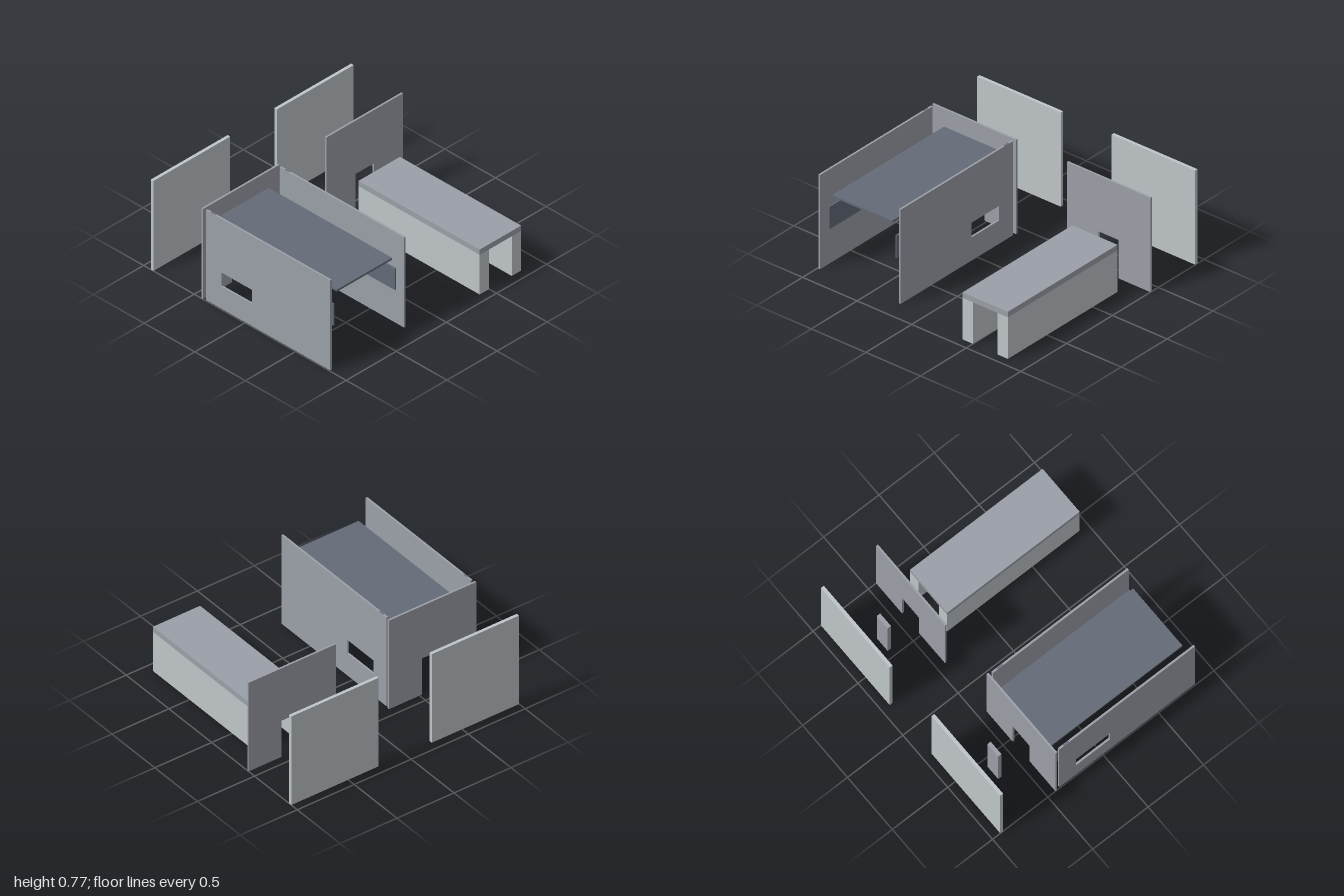
import * as THREE from 'three';

const mat = (name, color) => {
  const m = new THREE.MeshStandardMaterial({ color });
  m.name = name;
  return m;
};

export function createModel() {
  const model = new THREE.Group();
  model.name = 'explodedShelter';
  const grey = mat('wallGrey', 0x9b9fa7);
  const light = mat('lightGrey', 0xbfc5c9);
  const slate = mat('slate', 0x646b78);
  const black = mat('black', 0x101114);

  const add = (name, geometry, material) => {
    const mesh = new THREE.Mesh(geometry, material);
    mesh.name = name;
    model.add(mesh);
    return mesh;
  };
  // Box given by its minimum and maximum on each axis
  const box = (name, material, x0, x1, y0, y1, z0, z1) => {
    const g = new THREE.BoxGeometry(x1 - x0, y1 - y0, z1 - z0);
    g.translate((x0 + x1) / 2, (y0 + y1) / 2, (z0 + z1) / 2);
    return add(name, g, material);
  };
  const polygon = (pts, Type = THREE.Shape) => new Type(pts.map((p) => new THREE.Vector2(...p)));
  const H = 0.77;

  // End walls with doorways, door plates and outer blast panels
  for (const [side, cx] of [['right', -0.616], ['left', 0.616]]) {
    const w = 0.383, d = 0.093, dh = 0.314;
    const outline = polygon([[-w, 0], [-d, 0], [-d, dh], [d, dh], [d, 0], [w, 0], [w, H], [-w, H]]);
    const g = new THREE.ExtrudeGeometry(outline, { depth: 0.016, bevelEnabled: false });
    g.translate(cx, 0, -0.431);
    add(side + 'EndWall', g, grey);
    box(side + 'DoorPlate', grey, cx - 0.06, cx + 0.06, 0, 0.464, -0.686, -0.657);
    box(side + 'BackPanel', light, cx - w, cx + w, 0, H, -0.93, -0.904);
  }

  // Side walls with window openings, and their hanging inner panels
  for (const s of [-1, 1]) {
    const name = s < 0 ? 'outer' : 'inner';
    const cx = -0.616 + s * 0.369;
    const wall = polygon([[-0.835, 0], [0.392, 0], [0.392, H], [-0.835, H]]);
    wall.holes.push(polygon([[-0.065, 0.19], [-0.065, 0.31], [0.24, 0.31], [0.24, 0.19]], THREE.Path));
    const g = new THREE.ExtrudeGeometry(wall, { depth: 0.016, bevelEnabled: false });
    g.rotateY(Math.PI / 2);
    g.translate(cx - 0.008, 0, 0);
    add(name + 'SideWall', g, grey);
    box(name + 'WallInset', slate, cx - 0.005, cx + 0.005, H - 0.003, H + 0.001, -0.35, -0.3);
    const px = -0.616 + s * 0.307;
    box(name + 'HangingPanel', slate, px - 0.006, px + 0.006, 0.335, 0.518, -0.415, 0.803);
  }

  // Ceiling slab with the rod frame hung beneath it
  box('ceilingSlab', slate, -0.892, -0.343, 0.609, 0.626, -0.415, 0.803);
  for (const x of [-0.833, -0.617, -0.402]) {
    box('ceilingRail', slate, x - 0.025, x + 0.025, 0.6, 0.609, -0.415, 0.79);
    for (const z of [-0.3, 0, 0.3, 0.6]) {
      box('hanger', black, x - 0.003, x + 0.003, 0.553, 0.602, z - 0.003, z + 0.003);
    }
  }
  for (const x of [-0.833, -0.725, -0.617, -0.51, -0.402]) {
    box('longRod', black, x - 0.004, x + 0.004, 0.552, 0.56, -0.415, 0.61);
  }
  for (const z of [-0.3, 0, 0.3, 0.6]) {
    box('crossRod', black, -0.837, -0.398, 0.553, 0.559, z - 0.003, z + 0.003);
  }

  // Covered passage: two thick side walls under a roof slab
  box('passageRoof', grey, 0.406, 0.82, 0.34, 0.385, -0.27, 0.927);
  box('passageWallRight', light, 0.406, 0.5, 0, 0.34, -0.27, 0.927);
  box('passageWallLeft', light, 0.726, 0.82, 0, 0.34, -0.27, 0.927);

  return model;
}
